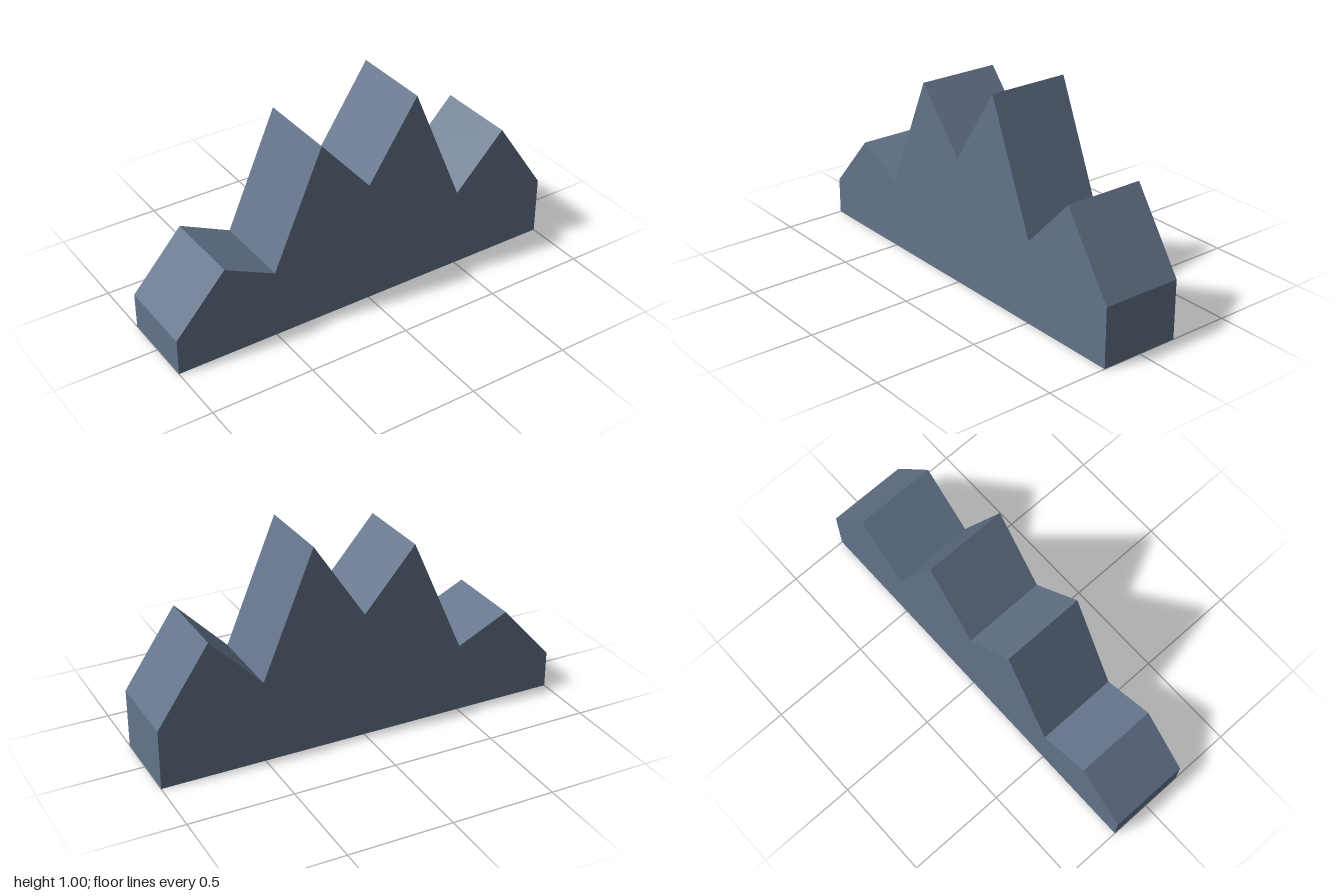
import * as THREE from 'three';

export function createModel() {
  const group = new THREE.Group();
  group.name = 'mountainRange';

  const slate = new THREE.MeshStandardMaterial({ color: 0x64748b });
  slate.name = 'slate';

  // Ridge heights at equal steps from the right end to the left end
  const heights = [0.18, 0.46, 0.34, 0.91, 0.62, 1, 0.4, 0.66, 0.29];
  const width = 2, depth = 0.4;
  const step = width / (heights.length - 1);

  // Jagged skyline closed along a flat base
  const skyline = new THREE.Shape();
  skyline.moveTo(-width / 2, 0);
  skyline.lineTo(width / 2, 0);
  for (let i = heights.length - 1; i >= 0; i--) {
    skyline.lineTo(-width / 2 + i * step, heights[i]);
  }
  skyline.closePath();

  // Extruded slab centred on z
  const geometry = new THREE.ExtrudeGeometry(skyline, { depth, bevelEnabled: false });
  geometry.translate(0, 0, -depth / 2);

  const ridge = new THREE.Mesh(geometry, slate);
  ridge.name = 'mountainRidge';
  group.add(ridge);
  return group;
}
